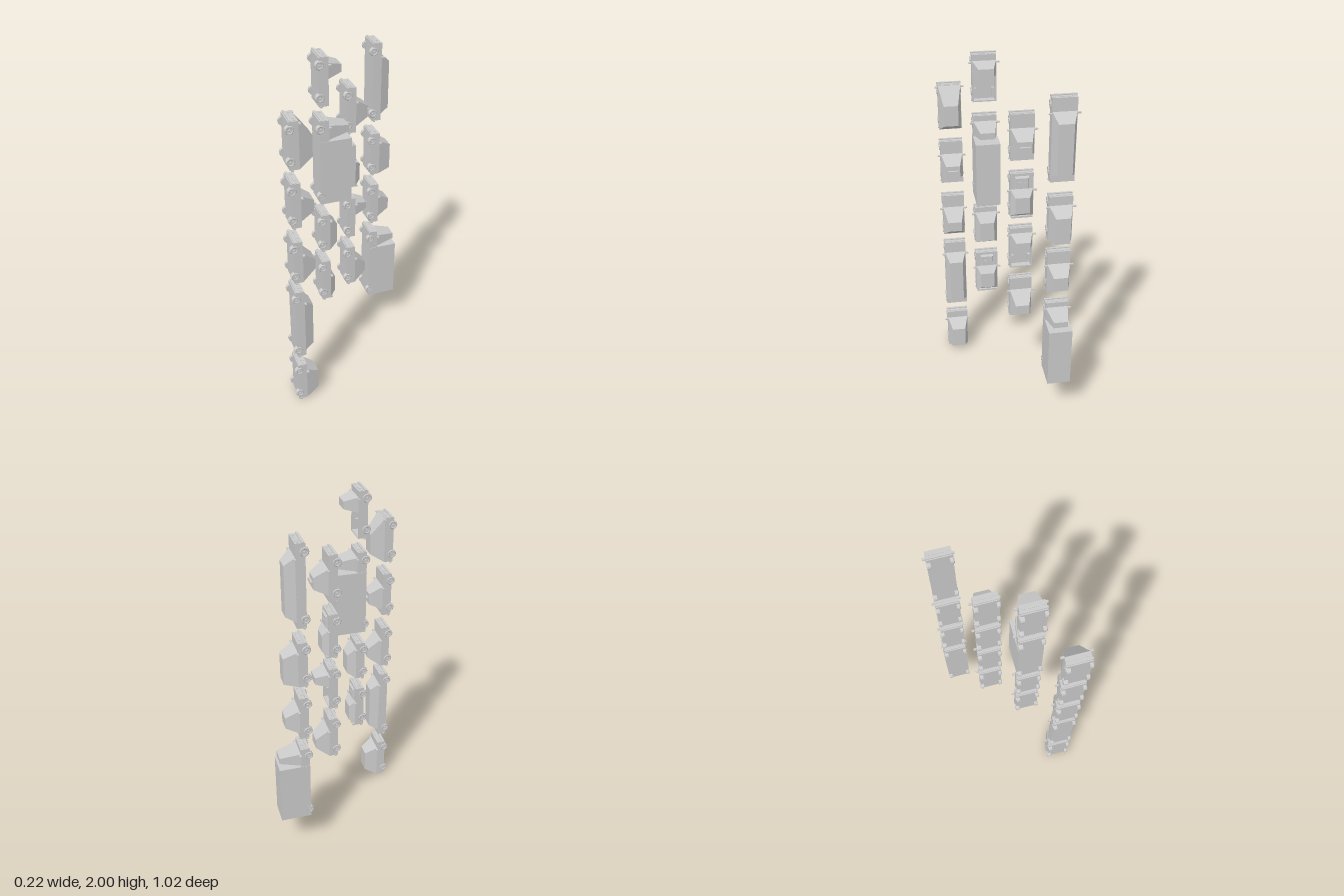
import * as THREE from 'three';

const mat = new THREE.MeshStandardMaterial({ color: 0xcccccc, flatShading: true });
const HALF = 0.0625;   // half body width
const DECK = 0.05;     // hood height

function add(parent, name, geo, x = 0, y = 0, z = 0) {
  const m = new THREE.Mesh(geo, mat);
  m.name = name;
  m.position.set(x, y, z);
  parent.add(m);
  return m;
}

// Box given by its limits: x half width, y range, z range
function block(parent, name, half, y0, y1, z0, z1, x = 0) {
  return add(parent, name, new THREE.BoxGeometry(half * 2, y1 - y0, z1 - z0), x, (y0 + y1) / 2, (z0 + z1) / 2);
}

// Tapered block: a base rectangle and a smaller top rectangle
function taper(parent, name, y0, y1, baseHalf, topHalf, base, top) {
  const g = new THREE.BoxGeometry(2, 2, 2);
  const p = g.attributes.position;
  for (let i = 0; i < p.count; i++) {
    const up = p.getY(i) > 0;
    const range = up ? top : base;
    p.setXYZ(i, p.getX(i) * (up ? topHalf : baseHalf), up ? y1 : y0, range[p.getZ(i) > 0 ? 1 : 0]);
  }
  g.computeVertexNormals();
  return add(parent, name, g);
}

// Tyre with a raised rim and hub cap
function wheel(parent, side, z) {
  const w = new THREE.Group();
  w.name = 'wheel';
  const profile = [[0.013, 0.007], [0.016, 0.01], [0.021, 0.01], [0.024, 0.006], [0.024, -0.01], [0.001, -0.01]];
  const tyre = new THREE.LatheGeometry(profile.reverse().map(([r, y]) => new THREE.Vector2(r, y)), 12);
  add(w, 'tyre', tyre);
  add(w, 'rim', new THREE.CylinderGeometry(0.0135, 0.0135, 0.015, 12));
  add(w, 'hubCap', new THREE.CylinderGeometry(0.005, 0.006, 0.006, 8), 0, 0.009, 0);
  w.rotation.z = -side * Math.PI / 2;
  w.position.set(side * 0.056, 0.005, z);
  parent.add(w);
}

// Vehicle: x across, y up from the chassis, z forward from the tail
function vehicle(name, s) {
  const car = new THREE.Group();
  car.name = name;
  const L = s.length;
  const bed = s.bed || 0;
  block(car, 'body', HALF, 0, DECK, bed || 0.005, L - 0.005);
  taper(car, 'cabin', DECK, s.height, HALF - 0.001, 0.039, s.base, s.roof);

  // Bumpers, lamps and grille
  for (const z of [0.004, L - 0.004]) block(car, 'bumper', 0.066, 0.006, 0.018, z - 0.004, z + 0.004);
  for (const side of [-1, 1]) {
    block(car, 'headlamp', 0.009, 0.026, 0.04, L - 0.007, L - 0.003, side * 0.046);
    block(car, 'tailLamp', 0.007, 0.026, 0.04, 0.003, 0.007, side * 0.05);
    for (const z of s.wheels) wheel(car, side, z);

    // Mirror and door handles
    block(car, 'mirror', 0.01, 0.047, 0.059, s.base[1] - 0.011, s.base[1] - 0.004, side * 0.069);
    for (const z of s.handles) block(car, 'doorHandle', 0.0015, 0.04, 0.043, z - 0.005, z + 0.005, side * HALF);
  }
  block(car, 'grille', 0.028, 0.024, 0.04, L - 0.007, L - 0.003);

  if (s.sign) block(car, 'roofSign', 0.03, s.height, s.height + 0.012, 0.1, 0.112);

  if (s.scoop) {
    taper(car, 'hoodScoop', DECK, DECK + 0.009, 0.038, 0.034, [0.17, 0.245], [0.175, 0.235]);
    block(car, 'scoopSlot', 0.02, DECK + 0.009, DECK + 0.012, 0.205, 0.212);
    block(car, 'tailSpoiler', 0.058, DECK, DECK + 0.012, 0, 0.01);
  }

  if (bed) {
    // Open load bed with inner wheel arches
    block(car, 'bedFloor', HALF, 0, 0.016, 0.005, bed);
    block(car, 'tailgate', HALF, 0.016, DECK, 0.005, 0.012);
    for (const side of [-1, 1]) {
      block(car, 'bedSide', 0.004, 0.016, DECK, 0.012, bed, side * (HALF - 0.004));
      block(car, 'wheelArch', 0.008, 0.016, 0.034, s.wheels[0] - 0.023, s.wheels[0] + 0.023, side * 0.0465);
    }
  }

  if (s.cargo) block(car, 'cargoBox', 0.065, 0, 0.17, 0, s.cargo);
  return car;
}

const axle = [0.05, 0.218];
const doors = [0.08, 0.14];
const sedan = { length: 0.265, height: 0.123, base: [0.04, 0.185], roof: [0.073, 0.138], wheels: axle, handles: doors };
const types = {
  sedan,
  taxi: { ...sedan, sign: true },
  van: { ...sedan, base: [0.006, 0.258], roof: [0.05, 0.165] },
  hatchback: { ...sedan, base: [0.006, 0.185], roof: [0.06, 0.118] },
  offroader: { ...sedan, base: [0.006, 0.215], roof: [0.042, 0.17] },
  wagon: { ...sedan, base: [0.006, 0.21], roof: [0.02, 0.17] },
  compact: { ...sedan, length: 0.235, height: 0.096, base: [0.006, 0.2], roof: [0.035, 0.15], wheels: [0.045, 0.19] },
  sportsCar: { ...sedan, height: 0.082, base: [0.01, 0.17], roof: [0.035, 0.13], scoop: true },
  pickup: { ...sedan, length: 0.262, base: [0.145, 0.225], roof: [0.163, 0.203], bed: 0.145, handles: [0.165] },
  limousine: {
    length: 0.455, height: 0.102, base: [0.04, 0.38], roof: [0.065, 0.335],
    wheels: [0.05, 0.405], handles: [0.09, 0.17, 0.25, 0.32],
  },
  truck: {
    length: 0.48, height: 0.163, base: [0.368, 0.445], roof: [0.387, 0.422],
    wheels: [0.046, 0.43], handles: [0.385], cargo: 0.36,
  },
};

// Columns of vehicles, nose up: type and height of the tail
const columns = [
  { z: 0.46, cars: [['offroader', 0], ['limousine', 0.325], ['hatchback', 0.835], ['taxi', 1.178], ['van', 1.51]] },
  { z: 0.196, cars: [['sportsCar', 0.555], ['compact', 0.885], ['truck', 1.19], ['pickup', 1.738]] },
  { z: -0.068, cars: [['hatchback', 0.493], ['pickup', 0.825], ['sportsCar', 1.153], ['taxi', 1.485]] },
  { z: -0.333, cars: [['truck', 0.235], ['sedan', 0.78], ['wagon', 1.11], ['limousine', 1.45]] },
];

export function createModel() {
  const model = new THREE.Group();
  model.name = 'vehicleCollection';
  const a = THREE.MathUtils.degToRad(39);
  const across = new THREE.Vector3(Math.cos(a), 0, Math.sin(a));
  const up = new THREE.Vector3(Math.sin(a), 0, -Math.cos(a));
  const turn = new THREE.Matrix4().makeBasis(across, up, new THREE.Vector3(0, 1, 0));
  for (const { z, cars } of columns) {
    for (const [type, y] of cars) {
      const car = vehicle(type, types[type]);
      car.quaternion.setFromRotationMatrix(turn);
      car.position.set(-0.048, y, z);
      model.add(car);
    }
  }
  return model;
}
